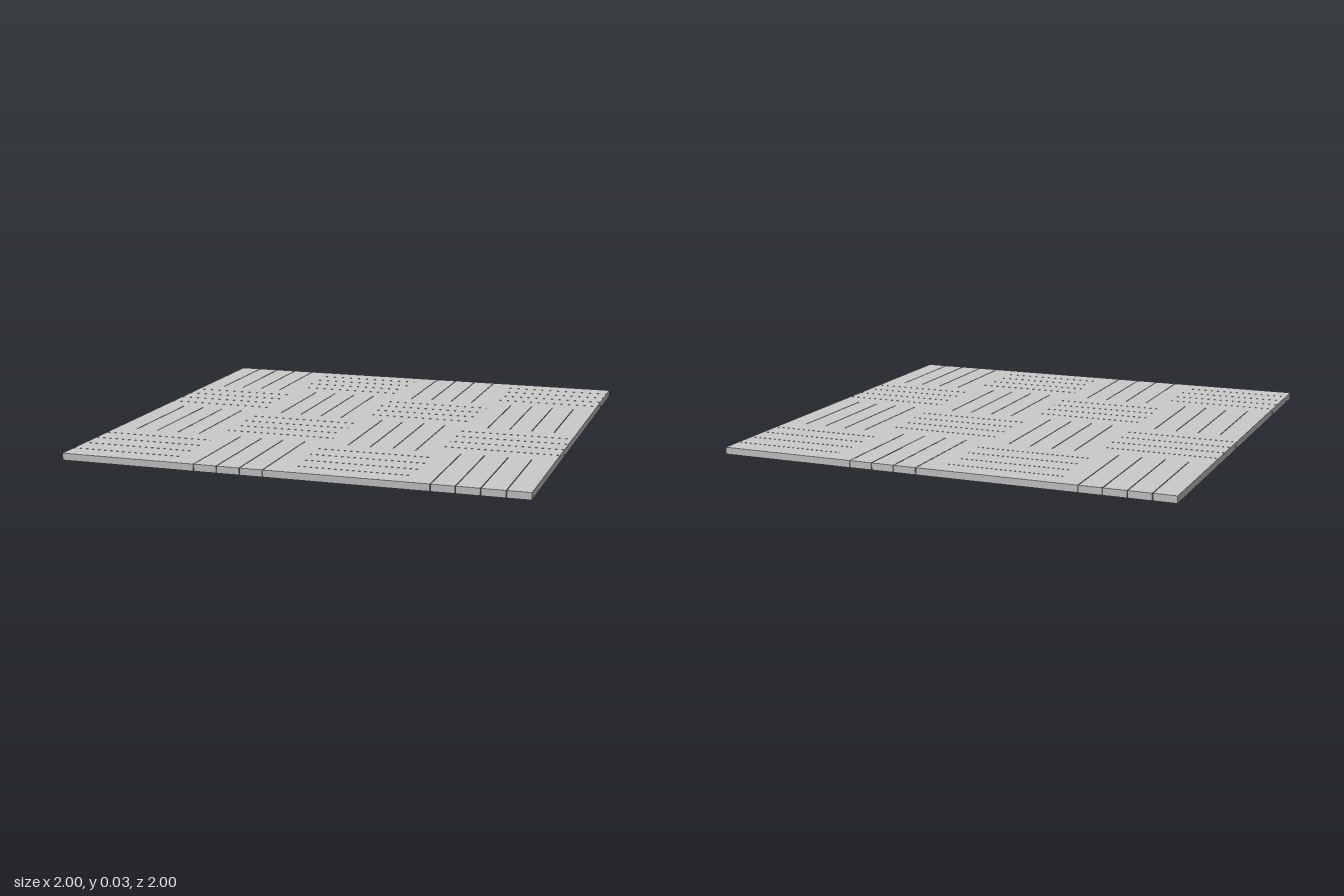
import * as THREE from 'three';

const TILES = 4, SLATS = 5;
const TILE = 0.5, GAP = 0.003, HEIGHT = 0.03;
const SLAT = (TILE - GAP * (SLATS - 1)) / SLATS;

const material = new THREE.MeshStandardMaterial({ color: 0xcccccc });

// One square of parallel slats running along z, with hairline joints
function createTile(geometry) {
  const tile = new THREE.Group();
  tile.name = 'parquetTile';
  for (let i = 0; i < SLATS; i++) {
    const slat = new THREE.Mesh(geometry, material);
    slat.name = 'slat';
    slat.position.set((i - (SLATS - 1) / 2) * (SLAT + GAP), HEIGHT / 2, 0);
    tile.add(slat);
  }
  return tile;
}

export function createModel() {
  const floor = new THREE.Group();
  floor.name = 'parquetFloor';
  const geometry = new THREE.BoxGeometry(SLAT, HEIGHT, TILE);

  // Basket-weave: every other tile is turned a quarter
  for (let row = 0; row < TILES; row++) {
    for (let col = 0; col < TILES; col++) {
      const tile = createTile(geometry);
      tile.position.set((col - (TILES - 1) / 2) * TILE, 0, (row - (TILES - 1) / 2) * TILE);
      if ((row + col) % 2) tile.rotation.y = Math.PI / 2;
      floor.add(tile);
    }
  }
  return floor;
}
